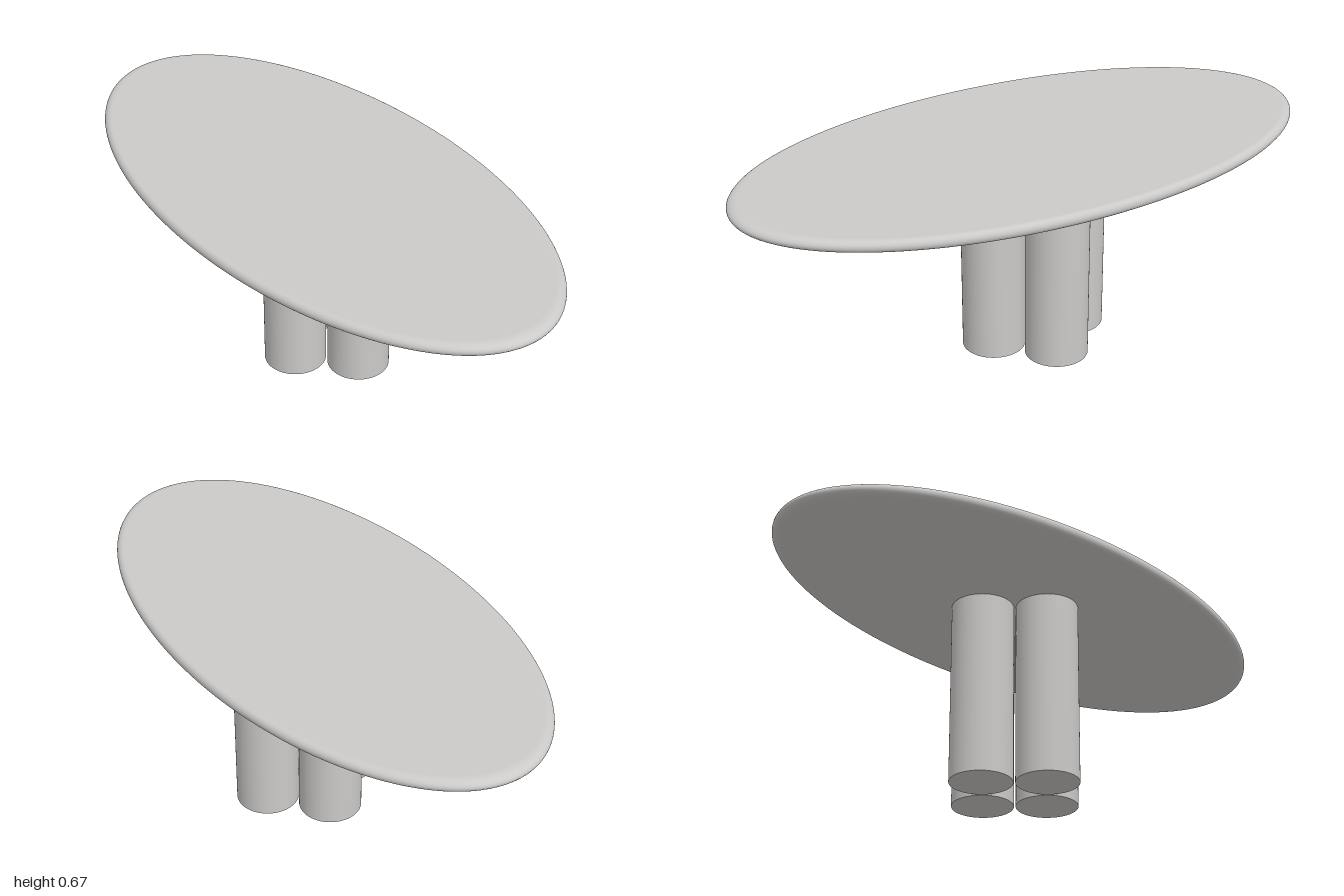
import * as THREE from 'three';

export function createModel() {
  const group = new THREE.Group();
  const stone = new THREE.MeshStandardMaterial({ color: 0xcccac8 });
  stone.name = 'warmGrey';

  const bottom = 0.627, top = 0.668, halfDepth = 0.506;

  // Oval top: a disc with a rounded rim, stretched sideways
  const mid = (bottom + top) / 2, rimY = (top - bottom) / 2, rimX = 0.036;
  const profile = [new THREE.Vector2(0, bottom)];
  const steps = 14;
  for (let i = 0; i <= steps; i++) {
    const a = -Math.PI / 2 + (Math.PI * i) / steps;
    profile.push(new THREE.Vector2(1 - rimX + rimX * Math.cos(a), mid + rimY * Math.sin(a)));
  }
  profile.push(new THREE.Vector2(0, top));
  // Double the rim ends so the flat faces keep flat normals
  profile.splice(1, 0, new THREE.Vector2(1 - rimX - 0.0005, bottom));
  profile.splice(profile.length - 1, 0, new THREE.Vector2(1 - rimX - 0.0005, top));
  const topGeometry = new THREE.LatheGeometry(profile, 128);
  topGeometry.scale(1, 1, halfDepth);
  const tableTop = new THREE.Mesh(topGeometry, stone);
  tableTop.name = 'tableTop';
  group.add(tableTop);

  // Cluster of four round columns in a diamond, set slightly back
  const base = new THREE.Group();
  base.name = 'base';
  base.position.z = -0.054;
  const columnGeometry = new THREE.CylinderGeometry(0.104, 0.104, bottom, 64);
  ['leftColumn', 'frontColumn', 'rightColumn', 'backColumn'].forEach((name, i) => {
    const a = (i * Math.PI) / 2;
    const column = new THREE.Mesh(columnGeometry, stone);
    column.name = name;
    column.position.set(0.151 * Math.cos(a), bottom / 2, 0.151 * Math.sin(a));
    base.add(column);
  });
  group.add(base);

  return group;
}
